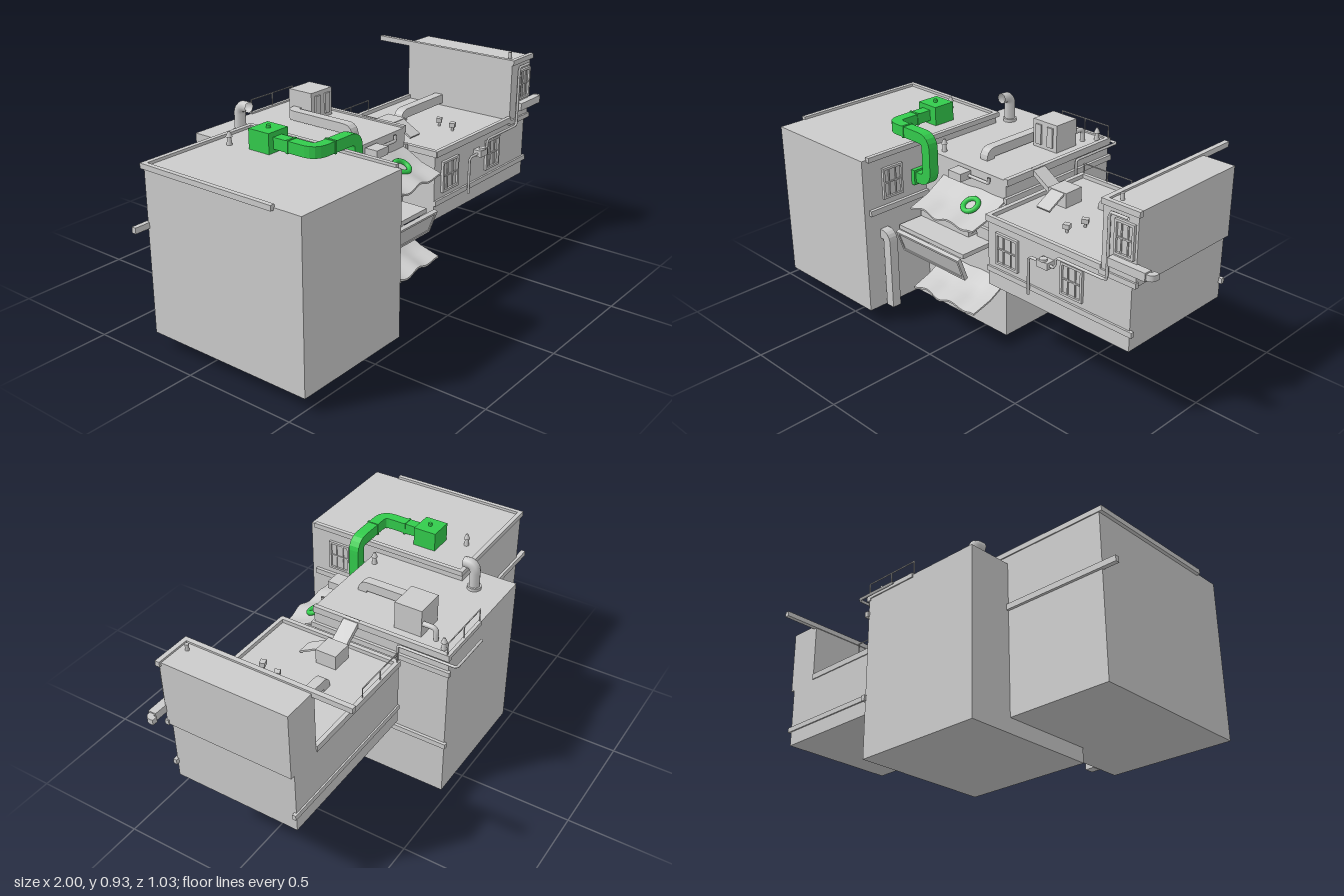
import * as THREE from 'three';

const grey = new THREE.MeshStandardMaterial({ color: 0xcccccc, side: THREE.DoubleSide });
const green = new THREE.MeshStandardMaterial({ color: 0x33cc4c, side: THREE.DoubleSide });
const V = (p) => new THREE.Vector3(...p);

export function createModel() {
  const model = new THREE.Group();
  model.name = 'shopBuildings';

  const add = (name, geo, mat = grey) => {
    const m = new THREE.Mesh(geo, mat);
    m.name = name;
    model.add(m);
    return m;
  };
  // Box from its limits on each axis
  const box = (name, x0, x1, y0, y1, z0, z1, mat) => {
    const m = add(name, new THREE.BoxGeometry(x1 - x0, y1 - y0, z1 - z0), mat);
    m.position.set((x0 + x1) / 2, (y0 + y1) / 2, (z0 + z1) / 2);
    return m;
  };
  const cyl = (name, x, y0, y1, z, r0, r1 = r0, sides = 12) => {
    const m = add(name, new THREE.CylinderGeometry(r1, r0, y1 - y0, sides));
    m.position.set(x, (y0 + y1) / 2, z);
    return m;
  };
  // Polyline with rounded corners
  const route = (points, bend) => {
    const p = points.map(V), path = new THREE.CurvePath();
    let from = p[0];
    for (let i = 1; i < p.length - 1; i++) {
      const a = p[i].clone().add(p[i - 1].clone().sub(p[i]).setLength(bend));
      const b = p[i].clone().add(p[i + 1].clone().sub(p[i]).setLength(bend));
      path.add(new THREE.LineCurve3(from, a));
      path.add(new THREE.QuadraticBezierCurve3(a, p[i], b));
      from = b;
    }
    path.add(new THREE.LineCurve3(from, p[p.length - 1]));
    return path;
  };
  const pipe = (name, points, r, bend = 0.012) =>
    add(name, new THREE.TubeGeometry(route(points, bend), 48, r, 8));
  const duct = (name, points, w, bend, mat) => {
    const h = w / 2;
    const section = new THREE.Shape([[-h, -h], [h, -h], [h, h], [-h, h]].map((q) => new THREE.Vector2(...q)));
    return add(name, new THREE.ExtrudeGeometry(section,
      { steps: 48, bevelEnabled: false, extrudePath: route(points, bend) }), mat);
  };
  // Window facing +z: frame, pane and glazing bars, centred on its group
  const windowUnit = (name, x, y, z, w, h, turn = 0) => {
    const g = new THREE.Group();
    g.name = name;
    const bar = (cx, cy, bw, bh, d) => {
      const m = new THREE.Mesh(new THREE.BoxGeometry(bw, bh, d), grey);
      m.position.set(cx, cy, d / 2);
      g.add(m);
    };
    bar(0, 0, w, h, 0.003);
    for (const s of [-1, 1]) {
      bar(s * (w / 2 - 0.005), 0, 0.01, h, 0.012);
      bar(0, s * (h / 2 - 0.005), w, 0.01, 0.012);
      bar(s * w / 6, 0, 0.005, h, 0.008);
    }
    bar(0, 0, w, 0.006, 0.008);
    g.position.set(x, y, z);
    g.rotation.y = turn;
    model.add(g);
  };

  // Main blocks
  box('leftBlock', -0.93, -0.365, 0.065, 0.77, -0.26, 0.515);
  box('middleBlock', -0.47, 0.125, 0, 0.728, -0.465, 0.17);
  box('rightBlock', 0.16, 0.89, 0.325, 0.625, -0.26, 0.305);
  box('tower', 0.75, 0.91, 0.605, 0.9, -0.26, 0.31);

  // Roof edges and wall bands
  box('leftRoofEdge', -0.945, -0.925, 0.76, 0.782, -0.265, 0.39);
  box('leftRoofEdge', -0.37, -0.35, 0.76, 0.782, -0.265, 0.49);
  box('leftRoofEdge', -0.945, -0.35, 0.76, 0.782, -0.265, -0.245);
  box('leftBackBand', -1, -0.35, 0.515, 0.54, -0.272, -0.252);
  box('leftSideBand', -0.37, -0.35, 0.515, 0.54, -0.26, 0.49);
  box('middleRoofEdge', 0.115, 0.135, 0.705, 0.735, -0.47, 0.17);
  box('middleRoofEdge', -0.14, 0.135, 0.715, 0.735, -0.47, -0.455);
  for (const y of [0.25, 0.63]) box('middleSideBand', 0.12, 0.138, y, y + 0.024, -0.475, 0.18);
  box('rightRoofEdge', 0.155, 0.175, 0.615, 0.642, -0.265, 0.315);
  for (const z of [-0.265, 0.3]) {
    box('rightRoofEdge', 0.16, 0.75, 0.615, 0.642, z, z + 0.018);
    box('rightWallBand', 0.16, 0.905, 0.392, 0.415, z - 0.002, z + 0.014);
  }
  box('towerSideBeam', 0.745, 0.766, 0.885, 0.908, -0.43, 0.32);
  box('towerCornice', 0.745, 0.92, 0.885, 0.908, 0.3, 0.32);
  box('towerFoot', 0.745, 0.915, 0.603, 0.625, 0.3, 0.318);

  // Windows
  windowUnit('frontWindow', 0.27, 0.51, 0.305, 0.12, 0.14);
  windowUnit('frontWindow', 0.61, 0.51, 0.305, 0.11, 0.14);
  windowUnit('towerWindow', 0.855, 0.78, 0.31, 0.09, 0.14);
  windowUnit('sideWindow', -0.365, 0.64, 0.362, 0.105, 0.14, Math.PI / 2);

  // Cloth awnings, sagging away from the wall with a rippled edge
  const awning = (name, top) => {
    const geo = new THREE.BoxGeometry(0.375, 0.008, 0.19, 20, 1, 6);
    const p = geo.attributes.position;
    for (let i = 0; i < p.count; i++) {
      const x = p.getX(i), t = p.getZ(i) / 0.19 + 0.5;
      const drop = t < 0.5 ? t * 0.11 : 0.055 + (t - 0.5) * 0.06;
      const ripple = 0.007 * (0.3 + t) * Math.sin(x * 42) + 0.003 * Math.sin(x * 17);
      p.setXYZ(i, x, p.getY(i) - drop + ripple, p.getZ(i) + 0.004 * t * Math.cos(x * 30));
    }
    geo.computeVertexNormals();
    add(name, geo).position.set(-0.063, top, 0.263);
  };
  awning('upperAwning', 0.64);
  awning('lowerAwning', 0.26);
  const ring = add('awningRing', new THREE.TorusGeometry(0.034, 0.011, 10, 28), green);
  ring.position.set(0, 0.608, 0.25);
  ring.rotation.x = -Math.PI / 2 + 0.5;

  // Counter, shelf boxes and leaning sign board
  box('counterDeck', -0.35, 0.05, 0.41, 0.43, 0.17, 0.345);
  box('counterBack', -0.35, -0.05, 0.43, 0.49, 0.17, 0.22);
  box('counterCrate', -0.29, -0.2, 0.49, 0.535, 0.17, 0.21);
  box('wallHatch', -0.035, 0.1, 0.425, 0.48, 0.17, 0.185);
  const sign = new THREE.Group();
  sign.name = 'signBoard';
  const signBar = (x, y, w, h, d) => {
    const m = new THREE.Mesh(new THREE.BoxGeometry(w, h, d), grey);
    m.position.set(x, y, 0);
    sign.add(m);
  };
  signBar(0, 0, 0.385, 0.11, 0.01);
  for (const s of [-1, 1]) {
    signBar(s * 0.187, 0, 0.012, 0.11, 0.018);
    signBar(0, s * 0.049, 0.385, 0.012, 0.018);
  }
  sign.position.set(-0.127, 0.374, 0.362);
  sign.rotation.x = 0.35;
  model.add(sign);

  // Square downpipe beside the counter
  duct('downDuct', [[-0.37, 0.415, 0.417], [-0.325, 0.415, 0.417], [-0.325, 0.075, 0.417]], 0.042, 0.03);

  // Green roof blower with its duct looping back into the wall
  box('blowerBox', -0.56, -0.45, 0.77, 0.855, -0.075, 0.03, green);
  const cap = cyl('blowerCap', -0.505, 0.85, 0.868, -0.02, 0.009);
  cap.material = green;
  duct('blowerDuct', [[-0.51, 0.81, 0.02], [-0.51, 0.81, 0.22], [-0.278, 0.81, 0.22],
    [-0.278, 0.622, 0.22], [-0.36, 0.622, 0.22]], 0.048, 0.045, green);
  box('ductFlange', -0.367, -0.345, 0.587, 0.655, 0.187, 0.253, green);
  for (const [x, z] of [[-0.51, 0.1], [-0.42, 0.22]]) {
    const alongZ = z < 0.2;
    box('ductCollar', x - (alongZ ? 0.027 : 0.005), x + (alongZ ? 0.027 : 0.005), 0.783, 0.837,
      z - (alongZ ? 0.005 : 0.027), z + (alongZ ? 0.005 : 0.027), green);
  }

  // Middle roof: cooling unit, ducts, vents
  box('coolingUnit', -0.06, 0.075, 0.728, 0.852, -0.31, -0.185);
  for (const x of [-0.04, 0.025]) box('unitLouvre', x, x + 0.03, 0.745, 0.835, -0.19, -0.177);
  duct('unitDuct', [[-0.05, 0.758, -0.262], [-0.095, 0.758, -0.262], [-0.095, 0.758, 0.06],
    [-0.095, 0.72, 0.06]], 0.042, 0.025);
  pipe('unitPipe', [[0.06, 0.785, -0.29], [0.06, 0.785, -0.37], [0.06, 0.725, -0.37]], 0.011, 0.025);
  pipe('elbowVent', [[-0.345, 0.72, -0.328], [-0.345, 0.845, -0.328], [-0.345, 0.845, -0.275]], 0.024, 0.035);
  cyl('elbowVentBase', -0.345, 0.725, 0.742, -0.328, 0.031);
  for (const [x, y, z] of [[0.095, 0.728, -0.425], [-0.285, 0.728, 0.13], [-0.57, 0.77, -0.17]]) {
    cyl('smallVentStem', x, y, y + 0.035, z, 0.012, 0.007);
    cyl('smallVentCap', x, y + 0.033, y + 0.055, z, 0.014, 0.005);
  }
  pipe('backPipe', [[-0.07, 0.7, -0.509], [0.14, 0.7, -0.509], [0.14, 0.7, -0.24], [0.14, 0.63, -0.24]], 0.006);
  box('frontLamp', -0.15, -0.075, 0.68, 0.715, 0.175, 0.235);
  pipe('lampPipe', [[-0.08, 0.695, 0.185], [0.04, 0.695, 0.185], [0.04, 0.72, 0.185]], 0.007, 0.01);

  // Railings along the back edges
  const railing = (x0, x1, y, h, z) => {
    for (let i = 0; i <= 2; i++) {
      const x = x0 + (x1 - x0) * i / 2;
      box('railingPost', x - 0.002, x + 0.002, y, y + h, z - 0.002, z + 0.002);
    }
    box('railingTop', x0, x1, y + h - 0.004, y + h, z - 0.002, z + 0.002);
  };
  railing(-0.14, 0.13, 0.73, 0.063, -0.46);
  railing(0.17, 0.43, 0.635, 0.055, -0.258);

  // Right roof: link to the middle block, hooded box, duct, loose hardware
  const link = box('linkDuct', 0.105, 0.26, 0.68, 0.7, -0.05, 0.02);
  link.rotation.z = -0.55;
  box('hoodBox', 0.23, 0.325, 0.625, 0.69, -0.065, 0.03);
  const hood = box('hoodFlap', 0.245, 0.315, 0.656, 0.664, 0.022, 0.122);
  hood.rotation.x = 0.5;
  duct('roofDuct', [[0.755, 0.658, -0.08], [0.44, 0.658, -0.08], [0.44, 0.62, -0.08]], 0.042, 0.025);
  for (const [x, z, turn] of [[0.49, 0.1, 0.5], [0.47, 0.185, 0.3]]) {
    cyl('roofStub', x, 0.62, 0.65, z, 0.006);
    box('roofStubHead', x - 0.014, x + 0.014, 0.642, 0.662, z - 0.012, z + 0.012).rotation.y = turn;
  }

  // Wall pipe with valve, tower bracket and mast
  pipe('wallPipe', [[0.875, 0.87, 0.325], [0.79, 0.87, 0.325], [0.79, 0.595, 0.325], [0.54, 0.595, 0.325],
    [0.54, 0.548, 0.325], [0.4, 0.548, 0.325], [0.4, 0.38, 0.325]], 0.006);
  box('pipeValve', 0.46, 0.515, 0.535, 0.565, 0.305, 0.345);
  cyl('valveWheel', 0.487, 0.565, 0.575, 0.335, 0.016);
  box('towerBracket', 0.8, 0.97, 0.664, 0.698, 0.305, 0.34);
  duct('bracketHook', [[0.96, 0.68, 0.322], [0.988, 0.68, 0.322], [0.988, 0.68, 0.295]], 0.024, 0.012);
  cyl('towerMast', 0.8, 0.9, 0.928, 0.268, 0.008);
  return model;
}
